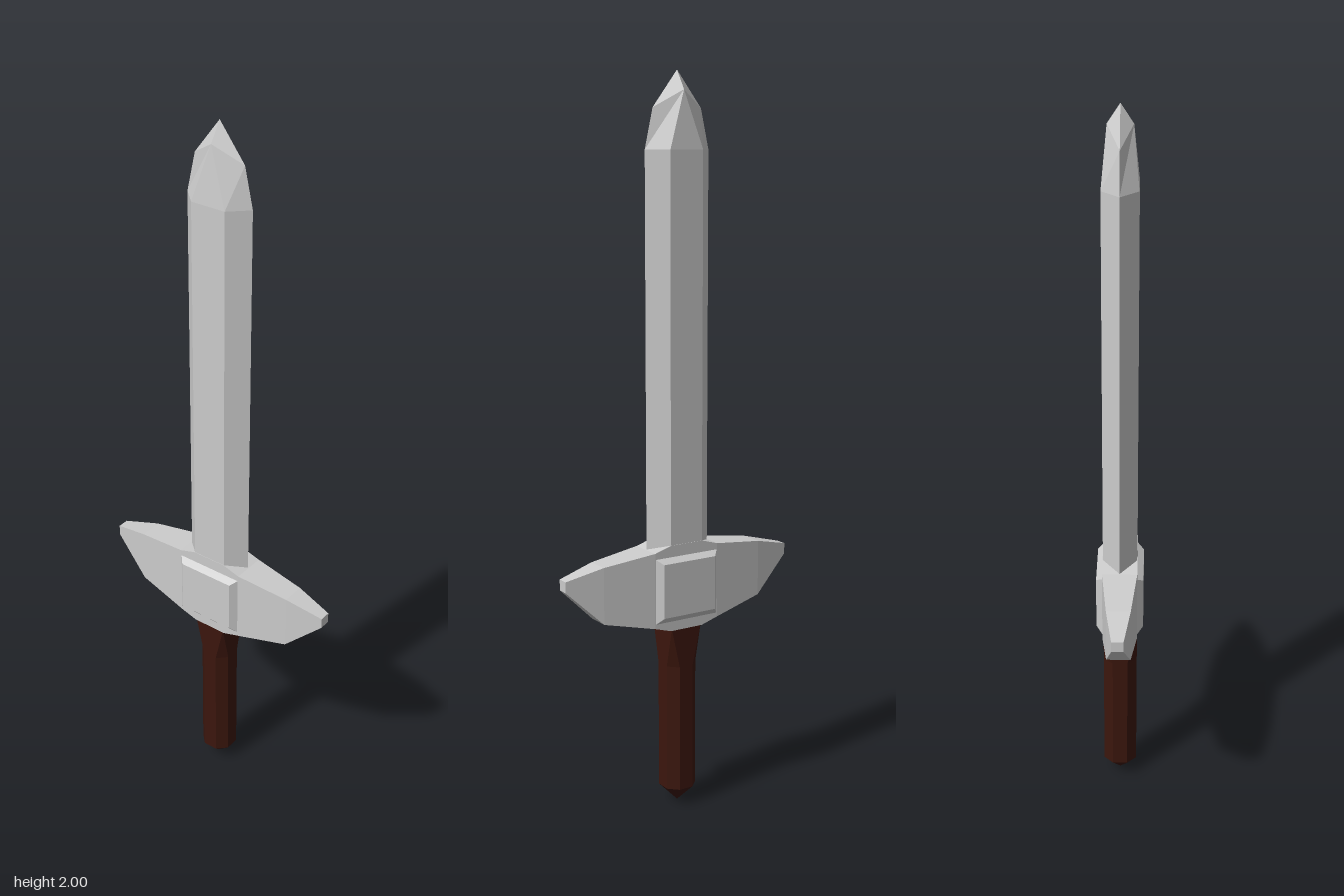
import * as THREE from 'three';

const steel = new THREE.MeshStandardMaterial({ color: 0xcccccc, flatShading: true });
const wood = new THREE.MeshStandardMaterial({ color: 0x3b160d, flatShading: true });

// Faceted skin over rings of points (counter-clockwise seen from the last ring), capped at both ends
function loft(name, rings, material) {
  const pos = [];
  const ab = new THREE.Vector3(), ac = new THREE.Vector3();
  const tri = (a, b, c) => {
    ab.subVectors(b, a);
    ac.subVectors(c, a);
    if (ab.cross(ac).length() > 1e-8) for (const p of [a, b, c]) pos.push(p.x, p.y, p.z);
  };
  const r = rings.map(ring => ring.map(p => new THREE.Vector3(...p)));
  const n = r[0].length, last = r[r.length - 1];
  for (let k = 0; k + 1 < r.length; k++) {
    for (let i = 0; i < n; i++) {
      const j = (i + 1) % n;
      tri(r[k][i], r[k][j], r[k + 1][j]);
      tri(r[k][i], r[k + 1][j], r[k + 1][i]);
    }
  }
  for (let i = 1; i + 1 < n; i++) {
    tri(r[0][0], r[0][i + 1], r[0][i]);
    tri(last[0], last[i], last[i + 1]);
  }
  const geo = new THREE.BufferGeometry();
  geo.setAttribute('position', new THREE.Float32BufferAttribute(pos, 3));
  geo.computeVertexNormals();
  const mesh = new THREE.Mesh(geo, material);
  mesh.name = name;
  return mesh;
}

// Hexagonal blade section: sharp edges on z, flat faces on x
const bladeRing = (edgeY, edgeZ, faceY, faceX, faceZ) => [
  [0, edgeY, edgeZ], [faceX, faceY, faceZ], [faceX, faceY, -faceZ],
  [0, edgeY, -edgeZ], [-faceX, faceY, -faceZ], [-faceX, faceY, faceZ],
];

// Square with cut corners; c is the half length of each side
const gripRing = (y, h, c) => [
  [-c, y, h], [c, y, h], [h, y, c], [h, y, -c],
  [c, y, -h], [-c, y, -h], [-h, y, -c], [-h, y, c],
];

const guardRing = (z, x, low, high) => [[-x, low, z], [x, low, z], [x, high, z], [-x, high, z]];

const bossRing = (x, z, low, high) => [[x, low, z], [x, low, -z], [x, high, -z], [x, high, z]];

export function createModel() {
  const sword = new THREE.Group();
  sword.name = 'sword';

  // Blade with faceted point
  sword.add(loft('blade', [
    bladeRing(0.68, 0.098, 0.68, 0.047, 0.05),
    bladeRing(1.8, 0.098, 1.8, 0.047, 0.05),
    bladeRing(1.905, 0.074, 1.95, 0.033, 0),
    bladeRing(2, 0, 2, 0, 0),
  ], steel));

  // Crossguard, mirrored front to back
  const half = [
    [0.355, 0.016, 0.67, 0.7], [0.25, 0.033, 0.57, 0.726],
    [0.1, 0.048, 0.535, 0.745], [0.05, 0.048, 0.52, 0.76],
  ];
  sword.add(loft('crossguard', [
    ...half.map(([z, ...s]) => guardRing(-z, ...s)),
    ...half.slice().reverse().map(s => guardRing(...s)),
  ], steel));

  // Bevelled plate on each side of the guard
  for (const side of ['left', 'right']) {
    const plate = loft(side + 'GuardPlate', [
      bossRing(0.04, 0.098, 0.547, 0.728),
      bossRing(0.048, 0.098, 0.547, 0.728),
      bossRing(0.065, 0.082, 0.565, 0.715),
    ], steel);
    if (side === 'right') plate.rotation.y = Math.PI;
    sword.add(plate);
  }

  // Grip: pointed foot, octagonal shaft, square top under the guard
  sword.add(loft('grip', [
    gripRing(0, 0, 0),
    gripRing(0.05, 0.047, 0.021),
    gripRing(0.41, 0.047, 0.021),
    gripRing(0.525, 0.047, 0.047),
  ], wood));

  return sword;
}
